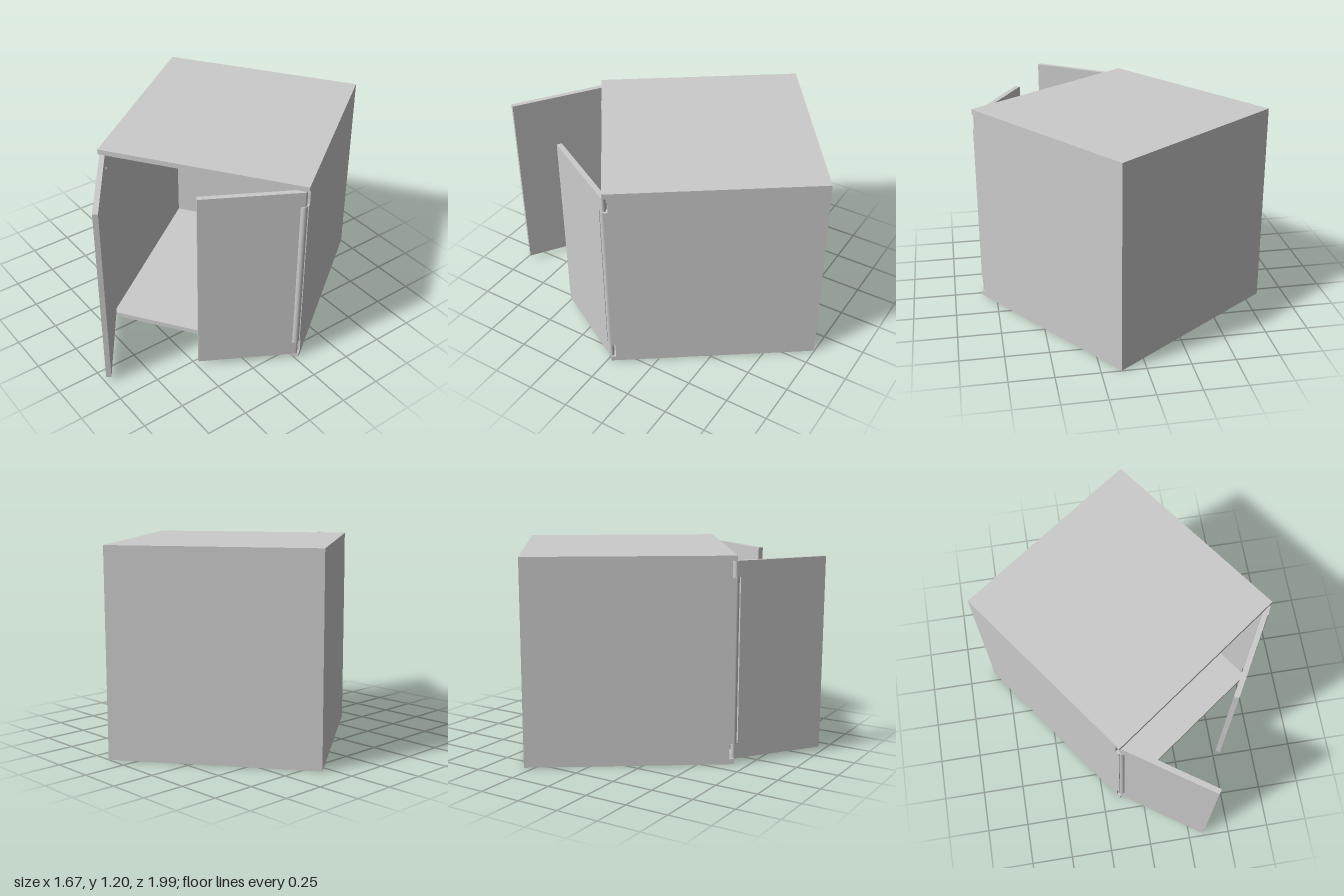
import * as THREE from 'three';

const SIZE = 1.2, HALF = SIZE / 2, T = 0.03;       // cabinet cube and board thickness
const HINGE_X = 0.575, HINGE_Z = 0.595;            // hinge axis
const NOTCH = 0.12;                                // height where the side knuckle starts
const material = new THREE.MeshStandardMaterial({ color: 0xcccccc });

function add(parent, name, geometry, x = 0, y = 0, z = 0) {
  const mesh = new THREE.Mesh(geometry, material);
  mesh.name = name;
  mesh.position.set(x, y, z);
  parent.add(mesh);
  return mesh;
}

// Extrudes a flat outline and centres it on its thickness
function board(points) {
  const shape = new THREE.Shape(points.map(([x, y]) => new THREE.Vector2(x, y)));
  return new THREE.ExtrudeGeometry(shape, { depth: T, bevelEnabled: false }).translate(0, 0, -T / 2);
}

// Side board with its front corners cut away for the door pivots
function sidePanel() {
  const back = -HALF + T, cut = 0.572;
  return board([
    [back, T], [cut, T], [cut, NOTCH], [HINGE_Z, NOTCH],
    [HINGE_Z, SIZE - NOTCH], [cut, SIZE - NOTCH], [cut, SIZE - T], [back, SIZE - T],
  ]).rotateY(-Math.PI / 2);
}

// Door hung on its pivot line at x = 0, reaching along +x
function doorPanel() {
  const w = 0.57, inset = 0.022;
  return board([
    [0, T], [w, T], [w, SIZE - T], [0, SIZE - T],
    [0, SIZE - NOTCH], [inset, SIZE - NOTCH], [inset, NOTCH], [0, NOTCH],
  ]);
}

export function createModel() {
  const model = new THREE.Group();
  model.name = 'model';
  const cabinet = new THREE.Group();
  cabinet.name = 'cabinet';
  cabinet.position.set(-0.002, 0, -0.162);
  cabinet.rotation.y = THREE.MathUtils.degToRad(35.5);
  model.add(cabinet);

  // Shell
  add(cabinet, 'bottomPanel', new THREE.BoxGeometry(SIZE, T, SIZE), 0, T / 2, 0);
  add(cabinet, 'topPanel', new THREE.BoxGeometry(SIZE, T, SIZE), 0, SIZE - T / 2, 0);
  add(cabinet, 'backPanel', new THREE.BoxGeometry(SIZE, SIZE - 2 * T, T), 0, HALF, -HALF + T / 2);

  // Sides, knuckles and doors; each door stands open at its own angle
  for (const [label, side, open] of [['left', 1, 25], ['right', -1, 70]]) {
    add(cabinet, label + 'SidePanel', sidePanel(), side * (HALF - T / 2), 0, 0);
    add(cabinet, label + 'HingeKnuckle', new THREE.CylinderGeometry(0.02, 0.02, SIZE - 2 * NOTCH, 24),
      side * HINGE_X, HALF, HINGE_Z);

    const door = new THREE.Group();
    door.name = label + 'Door';
    door.position.set(side * HINGE_X, 0, HINGE_Z);
    const angle = THREE.MathUtils.degToRad(open);
    door.rotation.y = side > 0 ? Math.PI + angle : -angle;
    cabinet.add(door);
    add(door, label + 'DoorPanel', doorPanel());
    // Rounded pivots at the top and bottom of the door
    const h = NOTCH - T;
    for (const y of [T + h / 2, SIZE - T - h / 2]) {
      add(door, label + 'DoorPivot', new THREE.CylinderGeometry(T / 2, T / 2, h, 20), 0, y, 0);
    }
  }
  return model;
}
